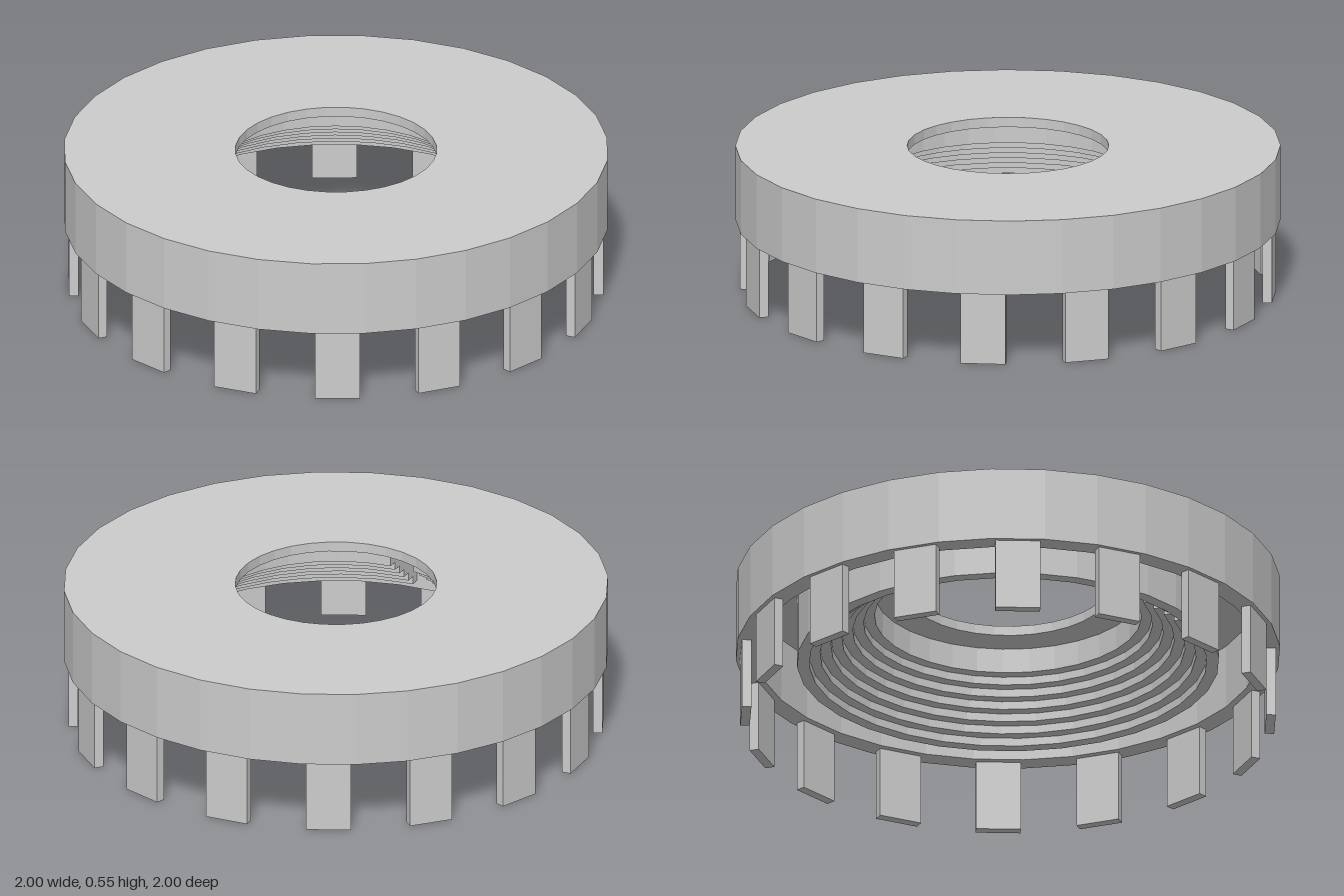
import * as THREE from 'three';

const SIDES = 32;
const STEP = (Math.PI * 2) / SIDES;

export function createModel() {
  const group = new THREE.Group();
  const material = new THREE.MeshStandardMaterial({ color: 0xcccccc, flatShading: true });
  const capMaterial = new THREE.MeshStandardMaterial({ color: 0xcccccc, flatShading: true, side: THREE.DoubleSide });
  const toPoints = (list) => list.map(([r, y]) => new THREE.Vector2(r, y));
  const add = (name, geometry, mat = material) => {
    const mesh = new THREE.Mesh(geometry, mat);
    mesh.name = name;
    group.add(mesh);
    return mesh;
  };

  // Cover: top plate with central hole, outer rim and lower inner collar
  const body = [
    [0.37, 0.515], [0.73, 0.515], [0.73, 0.235], [0.775, 0.235], [0.775, 0.515],
    [0.925, 0.515], [0.925, 0.27], [1, 0.27], [1, 0.552], [0.37, 0.552], [0.37, 0.515],
  ];
  add('cover', new THREE.LatheGeometry(toPoints(body), SIDES));

  // Terraced steps inside the collar, interrupted by one radial slot
  const count = 6;
  const stairs = [[0.49, 0.515]];
  for (let i = 0; i < count; i++) {
    const y = 0.42 - (i * 0.185) / count;
    stairs.push([0.49 + i * 0.04, y], [i === count - 1 ? 0.74 : 0.53 + i * 0.04, y]);
  }
  stairs.push([0.74, 0.515]);
  const slotStart = -1.5 * STEP;
  const slotEnd = -0.5 * STEP;
  add('innerSteps', new THREE.LatheGeometry(toPoints(stairs), SIDES - 1, slotEnd, Math.PI * 2 - STEP));
  for (const angle of [slotStart, slotEnd]) {
    const wall = new THREE.ShapeGeometry(new THREE.Shape(toPoints(stairs)));
    wall.rotateY(angle - Math.PI / 2);
    add('slotWall', wall, capMaterial);
  }

  // Flat tabs hanging under every second side of the rim
  const tabGeometry = new THREE.BoxGeometry(0.165, 0.28, 0.035);
  tabGeometry.translate(0, 0.14, 0.98 - 0.0175);
  for (let i = 0; i < SIDES / 2; i++) {
    add('tab', tabGeometry).rotation.y = (2 * i - 0.5) * STEP;
  }
  return group;
}
